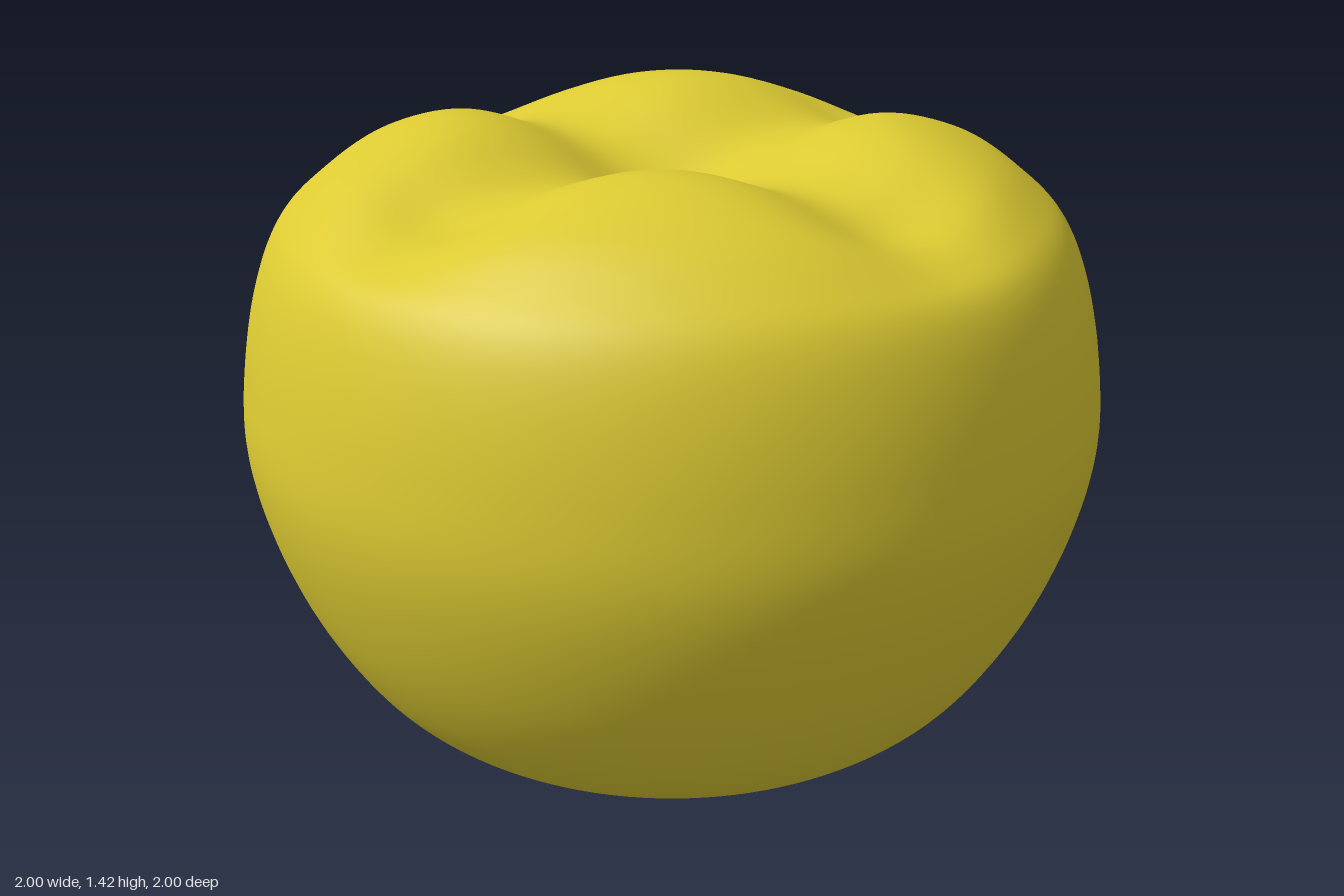
import * as THREE from 'three';
import { mergeVertices } from 'three/addons/utils/BufferGeometryUtils.js';

const GROOVE_DEPTH = 0.1;
const GROOVE_WIDTH = 0.2;

// Round body profile from the base up to the crown, as [radius, height]
const PROFILE = [
  [0, 0], [0.25, 0], [0.45, 0.008], [0.6, 0.033], [0.7, 0.085], [0.8, 0.19],
  [0.9, 0.365], [0.97, 0.56], [1, 0.74], [0.985, 0.92], [0.95, 1.08],
  [0.9, 1.2], [0.83, 1.275], [0.7, 1.365], [0.5, 1.433], [0.25, 1.44], [0, 1.435],
];

const groove = (d) => Math.exp(-((d / GROOVE_WIDTH) ** 2));

function createBodyGeometry() {
  const curve = new THREE.SplineCurve(PROFILE.map(([r, y]) => new THREE.Vector2(r, y)));
  const points = curve.getPoints(128);
  points.forEach((p) => p.set(Math.max(p.x, 0), Math.max(p.y, 0)));
  points[0].x = points[points.length - 1].x = 0;

  let geometry = new THREE.LatheGeometry(points, 128);
  const pos = geometry.attributes.position;

  // Two crossing grooves part the crown into four lobes and fade at the shoulder
  for (let i = 0; i < pos.count; i++) {
    const x = pos.getX(i), y = pos.getY(i), z = pos.getZ(i);
    if (y < 1) continue;
    const fade = 1 - THREE.MathUtils.smoothstep(Math.hypot(x, z), 0.6, 0.94);
    pos.setY(i, y - GROOVE_DEPTH * fade * (groove(x) + groove(z)));
  }

  // Weld the seam and poles for smooth shading
  geometry.deleteAttribute('uv');
  geometry.deleteAttribute('normal');
  geometry = mergeVertices(geometry, 1e-5);
  geometry.computeVertexNormals();
  return geometry;
}

export function createModel() {
  const group = new THREE.Group();
  group.name = 'lobedFruit';
  const body = new THREE.Mesh(
    createBodyGeometry(),
    new THREE.MeshStandardMaterial({ color: 0xdcca32 }),
  );
  body.name = 'fruitBody';
  group.add(body);
  return group;
}
